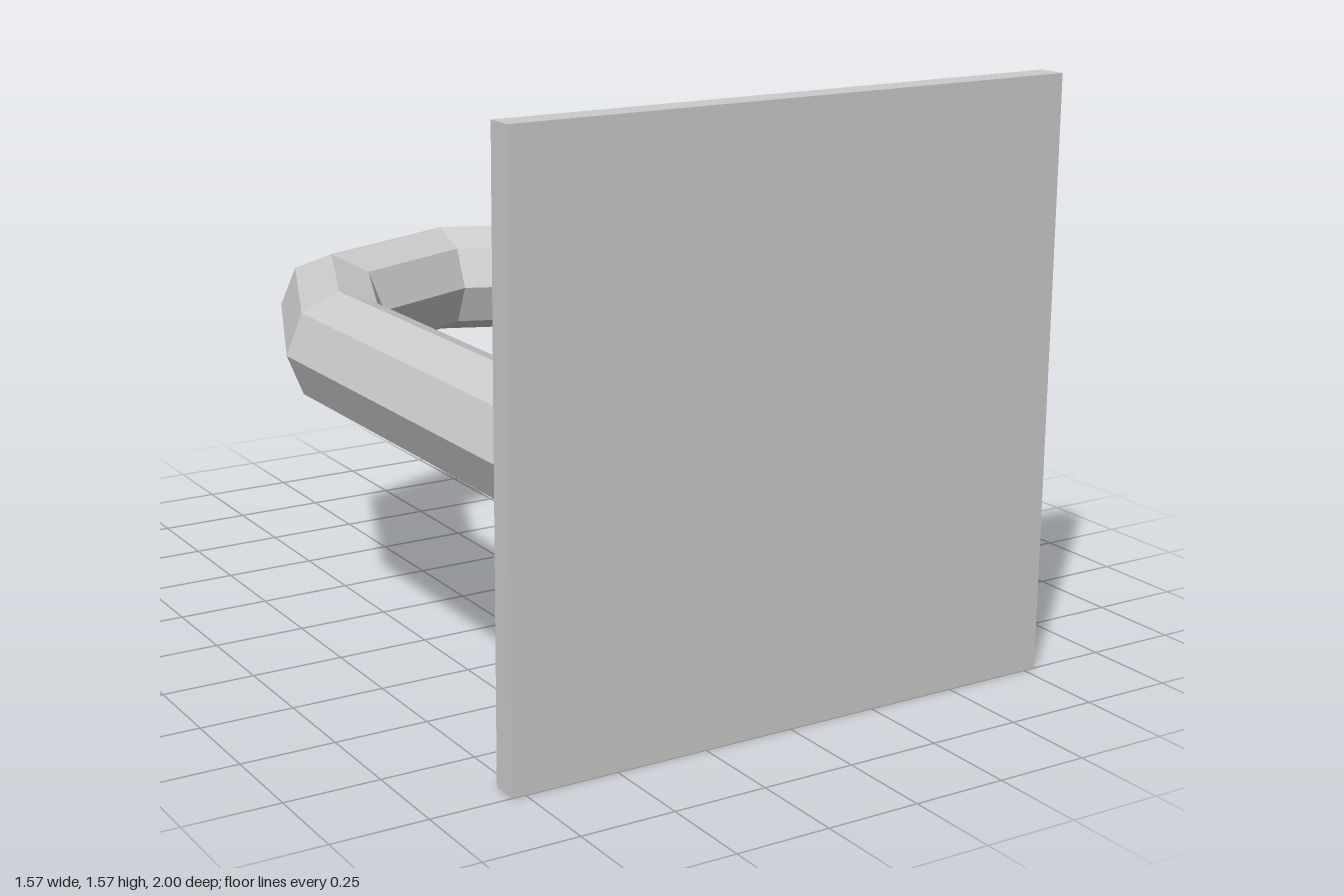
import * as THREE from 'three';

export function createModel() {
  const group = new THREE.Group();
  const material = new THREE.MeshStandardMaterial({ color: 0xcccccc, flatShading: true });

  const size = 1.57;            // plate width and height
  const plateDepth = 0.075;
  const barRadius = 0.157;
  const bendRadius = size / 2 - barRadius;
  const midY = size / 2;
  const bendZ = -1 + size / 2;  // where the straight legs meet the bend
  const plateBackZ = 1 - plateDepth;

  const add = (name, geometry, x, y, z) => {
    const mesh = new THREE.Mesh(geometry, material);
    mesh.name = name;
    mesh.position.set(x, y, z);
    group.add(mesh);
  };

  // Flat square mounting plate
  add('mountingPlate', new THREE.BoxGeometry(size, size, plateDepth), 0, midY, 1 - plateDepth / 2);

  // Half-ring bend, eight-sided bar in four straight segments
  const bend = new THREE.TorusGeometry(bendRadius, barRadius, 8, 4, Math.PI).rotateX(-Math.PI / 2);
  add('ringBend', bend, 0, midY, bendZ);

  // Two straight legs running from the bend to the plate
  const legLength = plateBackZ - bendZ;
  for (const side of [-1, 1]) {
    const leg = new THREE.CylinderGeometry(barRadius, barRadius, legLength, 8, 1, true).rotateX(Math.PI / 2);
    add(side > 0 ? 'leftLeg' : 'rightLeg', leg, side * bendRadius, midY, (plateBackZ + bendZ) / 2);
  }

  return group;
}
